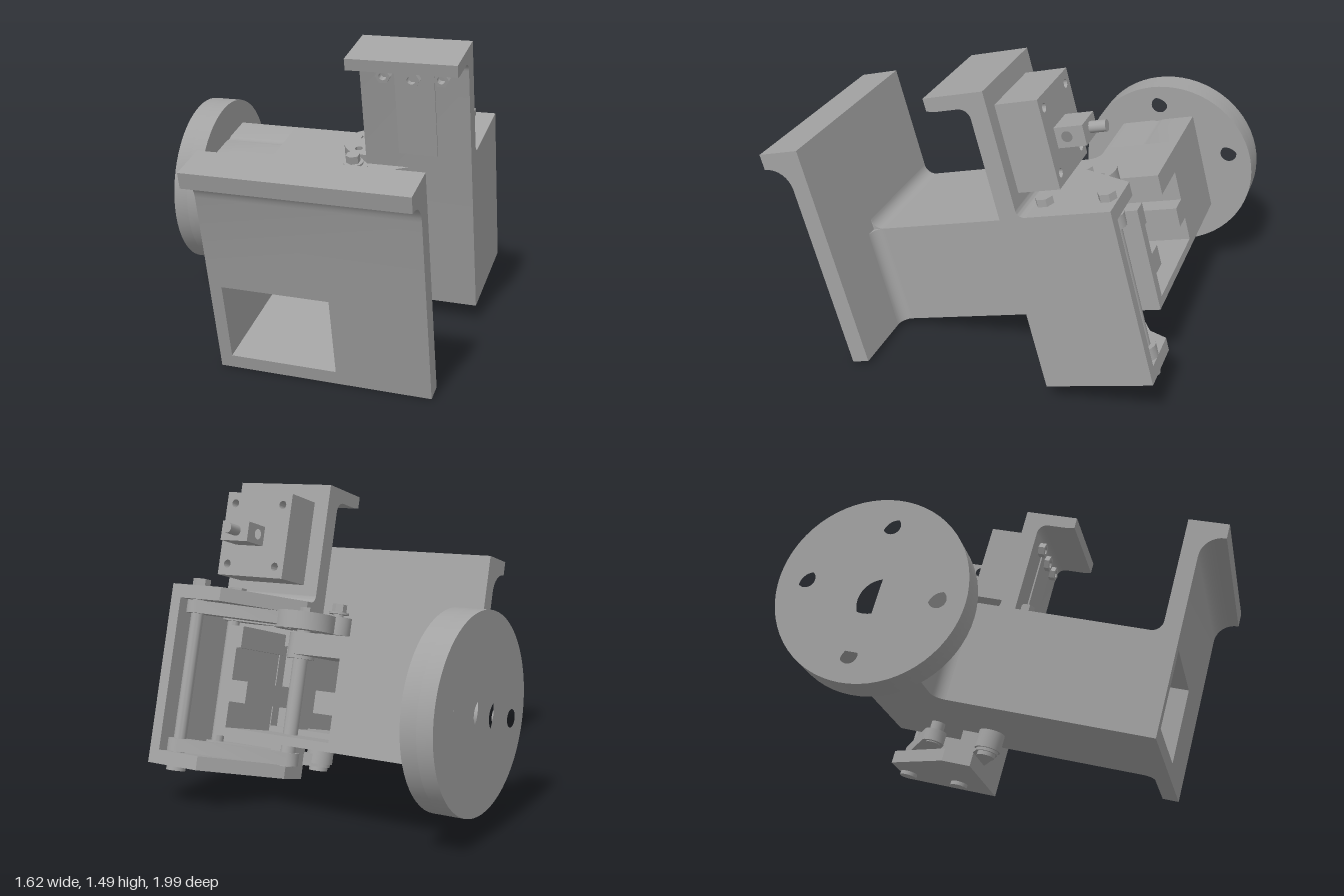
import * as THREE from 'three';
import { toCreasedNormals } from 'three/addons/utils/BufferGeometryUtils.js';

const steel = new THREE.MeshStandardMaterial({ color: 0xa2a2a2 });
steel.name = 'steel grey';

// Points along an arc
function arc(cx, cy, r, a0, a1, n = 8) {
  return Array.from({ length: n + 1 }, (_, i) => {
    const a = a0 + (a1 - a0) * i / n;
    return [cx + r * Math.cos(a), cy + r * Math.sin(a)];
  });
}
const rect = (x0, y0, x1, y1) => [[x0, y0], [x1, y0], [x1, y1], [x0, y1]];
const circle = (x, y, r) => arc(x, y, r, 0, Math.PI * 2, 32).slice(0, -1);

function extrude(points, holes, depth, flipX, flipY) {
  const v = p => p.map(([x, y]) => new THREE.Vector2(flipX ? -x : x, flipY ? -y : y));
  const shape = new THREE.Shape(v(points));
  shape.holes = holes.map(h => new THREE.Path(v(h)));
  return new THREE.ExtrudeGeometry(shape, { depth, bevelEnabled: false });
}

export function createModel() {
  const model = new THREE.Group();
  const tool = new THREE.Group();
  tool.name = 'tiltedGripper';
  tool.rotation.x = Math.PI / 12;
  tool.position.z = 0.6;
  model.add(tool);

  function add(name, geo) {
    const m = new THREE.Mesh(toCreasedNormals(geo, 0.6), steel);
    m.name = name;
    tool.add(m);
    return m;
  }
  // Prisms along each axis; profiles are (z,y), (x,z) and (x,y)
  const alongX = (name, pts, x0, x1, holes = []) =>
    add(name, extrude(pts, holes, x1 - x0, true, false).rotateY(Math.PI / 2).translate(x0, 0, 0));
  const alongY = (name, pts, y0, y1, holes = []) =>
    add(name, extrude(pts, holes, y1 - y0, false, true).rotateX(-Math.PI / 2).translate(0, y0, 0));
  const alongZ = (name, pts, z0, z1, holes = []) =>
    add(name, extrude(pts, holes, z1 - z0, false, false).translate(0, 0, z0));
  const rod = (name, x, z, r, y0, y1, sides = 24) =>
    add(name, new THREE.CylinderGeometry(r, r, y1 - y0, sides).translate(x, (y0 + y1) / 2, z));
  const PI = Math.PI, H = 0.51;

  // Fixed jaw: windowed lower plate, hooked upper plate, root fillets
  const windowHole = rect(-0.15, 0.067, 0.365, 0.455);
  alongZ('fixedJawLower', rect(-0.21, 0, 0.81, H), -0.085, 0, [windowHole]);
  alongX('fixedJawUpper', [
    [-0.085, H], [0, H], ...arc(0.11, 0.92, 0.11, PI, PI / 2), [0.115, 1.03],
    [0.115, 1.106], [-0.085, 1.106]], -0.21, 0.81);
  alongX('fixedJawFillet', [[-0.085, H], ...arc(-0.14, H + 0.055, 0.055, 0, -PI / 2)], -0.21, 0.425);
  alongY('fixedJawSideFillet', [[0.425, -0.085], ...arc(0.48, -0.14, 0.055, PI / 2, PI)], 0, H);

  // Hollow body with a stepped, top-slotted channel at the back
  alongZ('body', rect(-0.21, 0, 0.425, H), -1.1, -0.085, [windowHole]);
  alongZ('bodyChannel', [
    [-0.21, 0], [0.425, 0], [0.425, H], [0.345, H], [0.345, 0.41], [0.37, 0.41], [0.37, 0.26],
    [0.28, 0.26], [0.28, 0.16], [0.37, 0.16], [0.37, 0.04], [-0.19, 0.04], [-0.19, 0.16],
    [-0.09, 0.16], [-0.09, 0.26], [-0.19, 0.26], [-0.19, 0.41], [0.06, 0.41], [0.06, H],
    [-0.21, H]], -1.45, -1.1);

  // Side arm, with a bore and screw-access grooves near the flange
  const az = -1.26, ay = 0.25, g = 1.19;
  alongX('armGrooved', [
    [-1.45, 0], ...arc(az, -0.065, 0.07, PI - g, g), [-1.07, 0], [-1.07, H],
    ...arc(az, H + 0.065, 0.07, -g, g - PI), [-1.45, H]], -0.66, -0.34, [circle(az, ay, 0.12)]);
  alongX('arm', rect(-1.45, 0, -1.07, H), -0.34, -0.2);
  alongY('armFillet', [[-0.21, -1.07], ...arc(-0.27, -1.01, 0.06, 0, -PI / 2)], 0, H);

  // Mounting flange with counterbored bolt holes
  for (const [x0, x1, r] of [[-0.81, -0.735, 0.042], [-0.735, -0.66, 0.07]]) {
    const holes = [0, 1, 2, 3].map(i =>
      circle(az + 0.315 * Math.cos(i * PI / 2), ay + 0.315 * Math.sin(i * PI / 2), r));
    alongX('flange', arc(az, ay, 0.445, 0, 2 * PI, 64).slice(0, -1), x0, x1,
      [circle(az, ay, 0.12), ...holes]);
  }

  // Moving jaw: hooked plate, side wall, chamfered top and bottom plates
  alongX('movingJawPlate', [
    [-1.045, -0.175], [-0.96, -0.175], [-0.96, 1.15], ...arc(-0.91, 1.15, 0.05, PI, PI / 2),
    [-0.80, 1.2], [-0.765, 1.207], [-0.765, 1.265], [-1.045, 1.265]], 0.24, 0.775);
  alongX('movingJawFillet', [[-1.045, 0.68], ...arc(-1.08, 0.715, 0.035, 0, -PI / 2)], 0.24, 0.775);
  alongX('movingJawSide', rect(-1.47, -0.175, -1.04, 0.68), 0.72, 0.775);
  const plate = [[0.24, -1.04], [0.24, -1.11], [0.49, -1.47], [0.775, -1.47], [0.775, -1.04]];
  alongY('movingJawTop', plate, 0.615, 0.68);
  alongY('movingJawBottom', plate, -0.175, -0.11);
  alongZ('gripPad', rect(0.415, 0.69, 0.61, 1.15), -0.965, -0.952);
  for (const [x, y, r] of [[0.365, 1.11, 0.038], [0.505, 1.10, 0.042], [0.65, 1.11, 0.038]])
    alongZ('jawNut', arc(x, y, r, 0, 2 * PI, 6).slice(0, -1), -0.965, -0.925, [circle(x, y, r * 0.5)]);

  // Sensor block on the back of the moving jaw
  const screwHoles = [];
  for (const x of [0.37, 0.65]) for (const y of [0.82, 1.12]) screwHoles.push(circle(x, y, 0.02));
  alongZ('sensorBlock', rect(0.32, 0.765, 0.70, 1.175), -1.24, -1.04, screwHoles);
  alongX('sensorConnector', rect(-1.37, 0.916, -1.23, 1.01), 0.455, 0.61, [circle(-1.29, 0.965, 0.025)]);
  add('sensorPin', new THREE.CylinderGeometry(0.026, 0.026, 0.09, 20)
    .rotateX(PI / 2).translate(0.525, 0.965, -1.40));

  // Parallel links, above and below the body
  const front = [[0.2, -0.88], [0.645, -1.13]], back = [[0.2, -1.167], [0.645, -1.42]];
  for (const [[x0, z0], [x1, z1]] of [front, back]) {
    const a = Math.atan2(z1 - z0, x1 - x0), r = 0.055;
    const outline = [...arc(x0, z0, r, a + PI / 2, a + 1.5 * PI), ...arc(x1, z1, r, a - PI / 2, a + PI / 2)];
    alongY('upperLink', outline, 0.55, 0.61);
    alongY('lowerLink', outline, -0.105, -0.045);
    rod('linkPin', x1, z1, 0.03, -0.19, 0.69);
    rod('pinHead', x1, z1, 0.042, 0.68, 0.715, 6);
    rod('pinFoot', x1, z1, 0.045, -0.195, -0.175);
  }

  // Front body pivot
  const [px, pz] = front[0];
  rod('pivotWasher', px, pz, 0.055, H, 0.53);
  rod('pivotHub', px, pz, 0.068, 0.545, 0.635);
  rod('pivotCap', px, pz, 0.05, 0.65, 0.66);
  rod('pivotStem', px, pz, 0.025, 0.5, 0.66);
  rod('pivotBolt', px, pz, 0.036, 0.655, 0.70, 6);
  rod('lowerPivotHub', px, pz, 0.065, -0.09, 0);
  rod('lowerPivotBolt', px, pz, 0.045, -0.125, -0.09);

  // Drive disc and shaft
  const [dx, dz] = back[0];
  const discHoles = [0, 1, 2, 3].map(i =>
    circle(dx + 0.09 * Math.cos(i * PI / 2 + 0.5), dz + 0.09 * Math.sin(i * PI / 2 + 0.5), 0.02));
  alongY('driveDisc', circle(dx, dz, 0.14), 0.535, 0.618, discHoles);
  rod('driveBolt', dx, dz, 0.032, 0.61, 0.645, 6);
  rod('driveShaft', dx, dz, 0.035, -0.11, 0.54);
  rod('shaftCollar', dx, dz, 0.065, 0.40, 0.52);

  return model;
}
